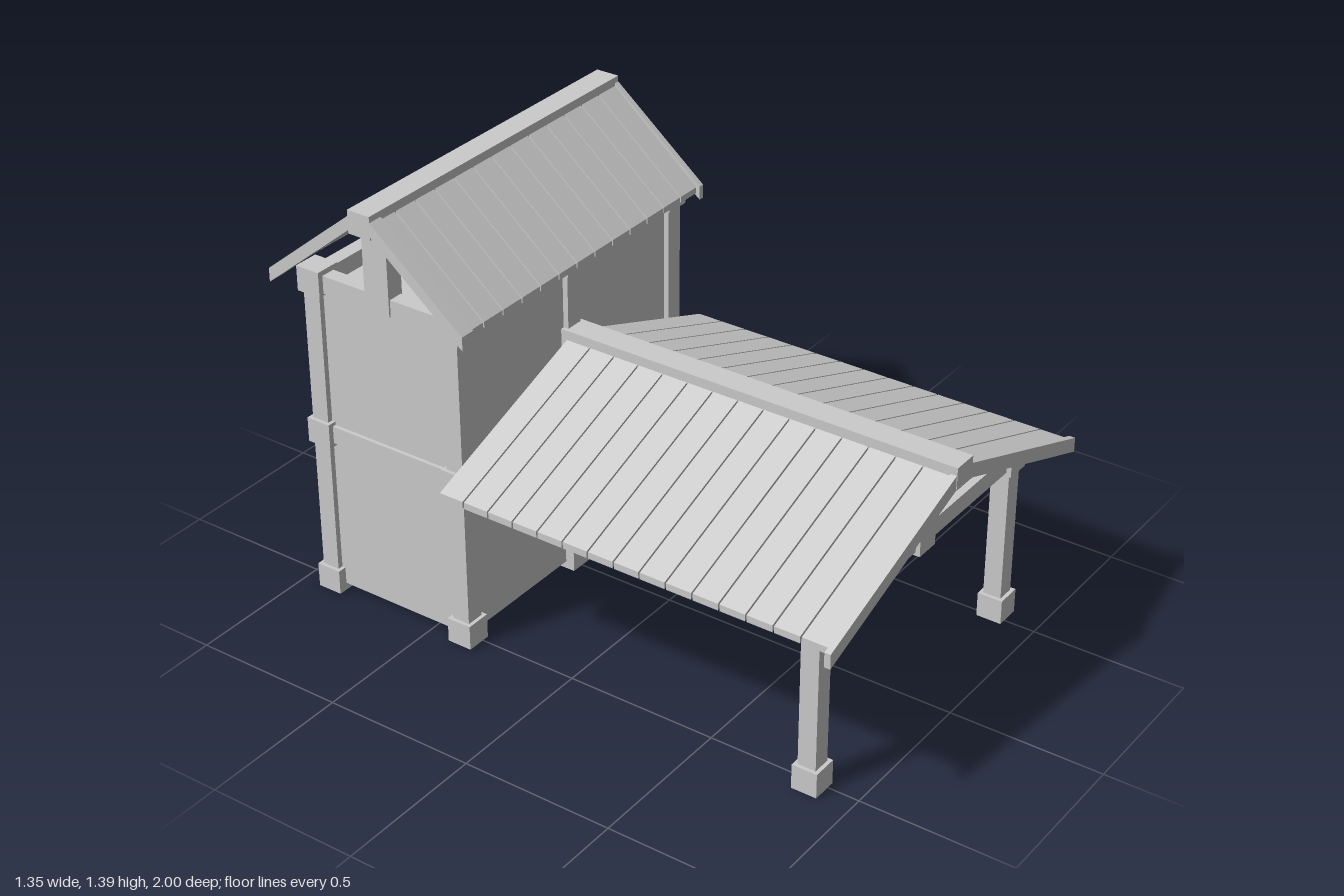
import * as THREE from 'three';

const mat = new THREE.MeshStandardMaterial({ color: 0xcccccc, flatShading: true });

// Box given by its min and max on each axis
function box(parent, name, x0, x1, y0, y1, z0, z1) {
  const m = new THREE.Mesh(new THREE.BoxGeometry(x1 - x0, y1 - y0, z1 - z0), mat);
  m.position.set((x0 + x1) / 2, (y0 + y1) / 2, (z0 + z1) / 2);
  m.name = name;
  parent.add(m);
  return m;
}

// Polygon in XY extruded from z0 to z1
function prism(parent, name, pts, z0, z1) {
  const shape = new THREE.Shape(pts.map(p => new THREE.Vector2(p[0], p[1])));
  const geo = new THREE.ExtrudeGeometry(shape, { depth: z1 - z0, bevelEnabled: false });
  geo.translate(0, 0, z0);
  const m = new THREE.Mesh(geo, mat);
  m.name = name;
  parent.add(m);
  return m;
}

// Sloping board: top edge from (x0,y0) to (x1,y1), thickness t measured down
const slope = (s, x0, y0, x1, y1, t) =>
  [[s * x0, y0], [s * x1, y1], [s * x1, y1 - t], [s * x0, y0 - t]];

// Post with square blocks at the given base heights
function post(parent, name, x, z, top, blocks) {
  const g = new THREE.Group();
  g.name = name;
  box(g, 'shaft', x - 0.03, x + 0.03, 0.01, top, z - 0.03, z + 0.03);
  for (const y of blocks) box(g, 'block', x - 0.042, x + 0.042, y, y + 0.082, z - 0.042, z + 0.042);
  parent.add(g);
}

// Row of planks lying on one roof slope
function planks(parent, name, profile, z0, z1, count, gap) {
  const g = new THREE.Group();
  g.name = name;
  const w = (z1 - z0) / count;
  for (let i = 0; i < count; i++)
    prism(g, 'plank', profile, z0 + i * w + gap / 2, z0 + (i + 1) * w - gap / 2);
  parent.add(g);
}

const PX = 0.518, ZF = -0.378, ZB = -0.892, ZC = -0.635;

function buildTower() {
  const g = new THREE.Group();
  g.name = 'tower';
  box(g, 'walls', -0.53, 0.53, 0.025, 1.05, ZB - 0.012, ZF + 0.012);
  for (const x of [-PX, 0, PX])
    for (const z of [ZF, ZB]) post(g, 'towerPost', x, z, 1.1, [0, 0.525, 1.04]);
  // Horizontal beams round the middle and the top
  for (const y of [0.537, 1.047]) {
    for (const z of [ZF, ZB]) box(g, 'longBeam', -PX, PX, y, y + 0.058, z - 0.024, z + 0.024);
    for (const x of [-PX, PX]) box(g, 'sideBeam', x - 0.024, x + 0.024, y, y + 0.058, ZB, ZF);
  }
  return g;
}

// Built along local z, then turned so that its length runs along x
function buildTowerRoof() {
  const g = new THREE.Group();
  g.name = 'towerRoof';
  box(g, 'ridgeBeam', -0.04, 0.04, 1.32, 1.395, -0.605, 0.575);
  for (const x of [-PX, PX]) box(g, 'kingPost', -0.045, 0.045, 1.05, 1.33, x - 0.03, x + 0.03);
  for (const s of [-1, 1]) {
    const rafter = slope(s, 0.035, 1.38, 0.36, 1.113, 0.045);
    prism(g, 'endRafter', rafter, -0.605, -0.555);
    prism(g, 'endRafter', rafter, 0.557, 0.575);
    planks(g, 'roofPlanks', slope(s, 0.035, 1.371, 0.347, 1.107, 0.02), -0.58, 0.56, 13, 0.005);
  }
  g.rotation.y = Math.PI / 2;
  g.position.z = -0.64;
  return g;
}

// Arched doorway on the left (+x) wall
function buildDoorway() {
  const g = new THREE.Group();
  g.name = 'doorway';
  const outer = [[0.17, 0], [0.17, 0.185], [0.165, 0.285], [0.125, 0.395], [0.053, 0.455]];
  const inner = [[0.108, 0], [0.108, 0.185], [0.104, 0.28], [0.083, 0.355], [0.038, 0.4]];
  const stone = pts => {
    const cx = pts.reduce((a, p) => a + p[0], 0) / 4, cy = pts.reduce((a, p) => a + p[1], 0) / 4;
    const k = p => [cx + (p[0] - cx) * 0.965, p[1] === 0 ? 0 : cy + (p[1] - cy) * 0.965];
    prism(g, 'archStone', pts.map(k), 0.45, 0.557);
  };
  for (const s of [-1, 1]) {
    const m = p => [s * p[0], p[1]];
    for (let i = 0; i < 4; i++) stone([outer[i], outer[i + 1], inner[i + 1], inner[i]].map(m));
    // Door leaf following the inside of the arch
    const leaf = [[0.002, 0.035], [0.108, 0.035], ...inner.slice(1), [0.002, 0.4]];
    prism(g, 'doorLeaf', leaf.map(m), 0.5, 0.54);
  }
  stone([outer[4], [-outer[4][0], outer[4][1]], [-inner[4][0], inner[4][1]], inner[4]]);
  g.rotation.y = Math.PI / 2;
  g.position.z = -0.64;
  return g;
}

function buildPorch() {
  const g = new THREE.Group();
  g.name = 'porch';
  const zp = 0.855;
  for (const x of [-PX, PX]) {
    post(g, 'porchPost', x, zp, 0.59, [0, 0.525]);
    box(g, 'porchSideBeam', x - 0.026, x + 0.026, 0.537, 0.595, ZF, zp);
  }
  box(g, 'porchFrontBeam', -PX, PX, 0.537, 0.595, zp - 0.026, zp + 0.026);
  box(g, 'porchKingPost', -0.042, 0.042, 0.525, 0.79, zp - 0.04, zp + 0.04);
  box(g, 'porchRidgeBeam', -0.042, 0.042, 0.785, 0.858, -0.37, 1);
  for (const s of [-1, 1]) {
    prism(g, 'porchBargeboard', slope(s, 0.035, 0.835, 0.675, 0.6, 0.048), 0.978, 0.998);
    planks(g, 'porchRoofPlanks', slope(s, 0.035, 0.829, 0.655, 0.603, 0.022), -0.348, 0.98, 15, 0.005);
  }
  return g;
}

export function createModel() {
  const model = new THREE.Group();
  model.name = 'gatehouse';
  model.add(buildTower(), buildTowerRoof(), buildDoorway(), buildPorch());
  return model;
}
